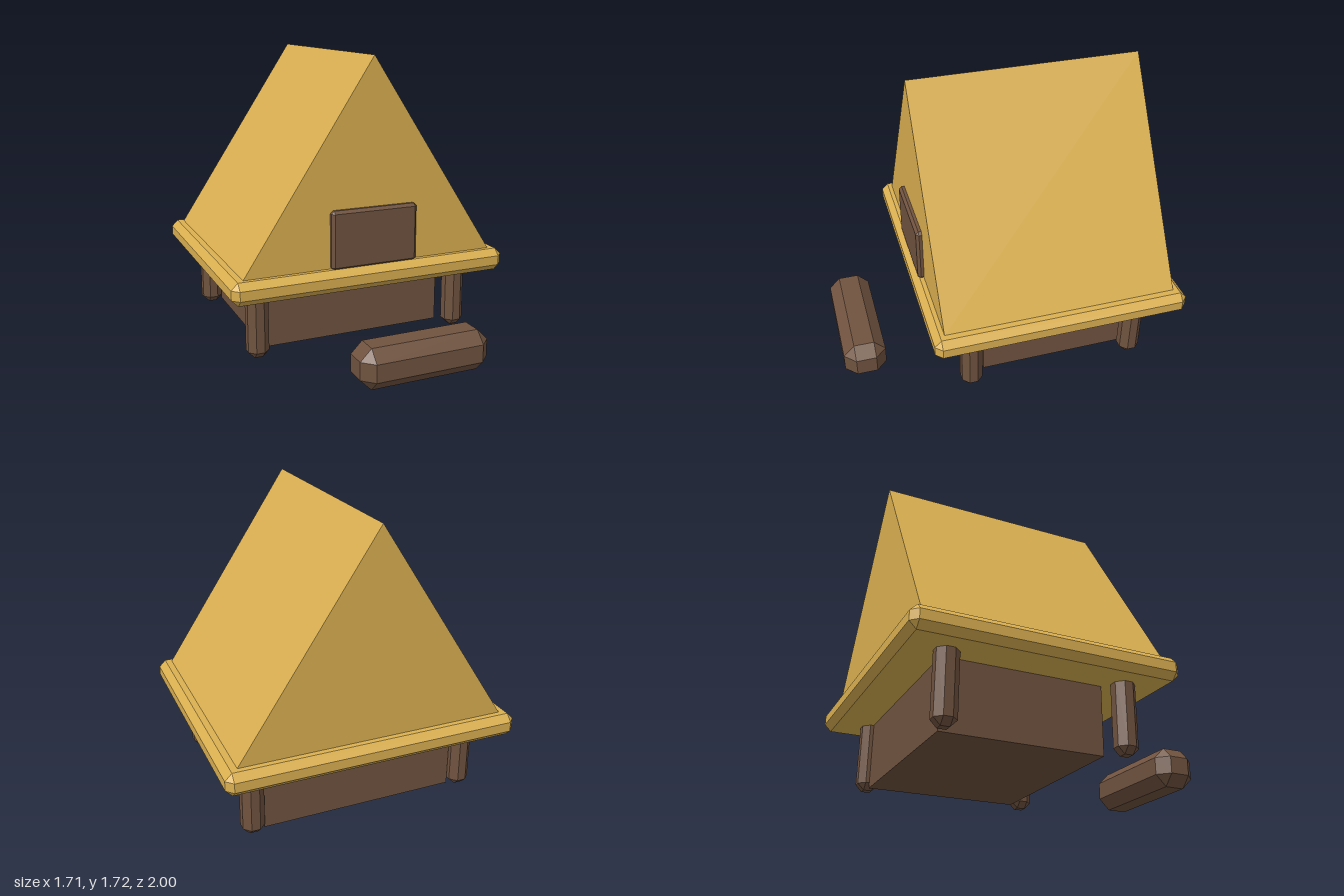
import * as THREE from 'three';
import { ConvexGeometry } from 'three/addons/geometries/ConvexGeometry.js';

// Box with chamfered edges and corners, given by its min and max corners
function chamferBox(min, max, c) {
  const size = max.map((v, i) => v - min[i]);
  const points = [];
  for (const sx of [-1, 1]) for (const sy of [-1, 1]) for (const sz of [-1, 1]) {
    const s = [sx, sy, sz];
    for (let full = 0; full < 3; full++) {
      points.push(new THREE.Vector3(...s.map((v, i) => v * (size[i] / 2 - (i === full ? 0 : c)))));
    }
  }
  const geometry = new ConvexGeometry(points);
  geometry.translate(...min.map((v, i) => (v + max[i]) / 2));
  return geometry;
}

export function createModel() {
  const group = new THREE.Group();
  const straw = new THREE.MeshStandardMaterial({ color: 0xdbb051 });
  straw.name = 'straw yellow';
  const wood = new THREE.MeshStandardMaterial({ color: 0x70533f });
  wood.name = 'brown wood';

  const add = (name, geometry, material) => {
    const mesh = new THREE.Mesh(geometry, material);
    mesh.name = name;
    group.add(mesh);
    return mesh;
  };

  // Hut body
  const walls = new THREE.BoxGeometry(1.16, 0.45, 0.93);
  walls.translate(0, 0.228, -0.285);
  add('walls', walls, wood);

  // Corner posts, tops sunk into the eaves
  for (const [side, x] of [['left', 0.648], ['right', -0.648]]) {
    for (const [end, z] of [['front', 0.275], ['back', -0.745]]) {
      const r = 0.063;
      add(`${end} ${side} post`, chamferBox([x - r, 0, z - r], [x + r, 0.48, z + r], 0.038), wood);
    }
  }

  // Eaves slab
  add('eaves', chamferBox([-0.855, 0.398, -1], [0.855, 0.532, 0.525], 0.039), straw);

  // Gabled roof
  const gable = new THREE.Shape();
  gable.moveTo(-0.78, 0.53);
  gable.lineTo(0.78, 0.53);
  gable.lineTo(0, 1.72);
  gable.closePath();
  const roof = new THREE.ExtrudeGeometry(gable, { depth: 1.39, bevelEnabled: false });
  roof.translate(0, 0, -0.93);
  add('roof', roof, straw);

  // Board on the front gable
  add('board', chamferBox([-0.267, 0.525, 0.42], [0.267, 0.87, 0.495], 0.017), wood);

  // Log bench in front of the hut
  add('log', chamferBox([-0.3, 0, 0.748], [0.48, 0.235, 1], 0.066), wood);

  return group;
}
